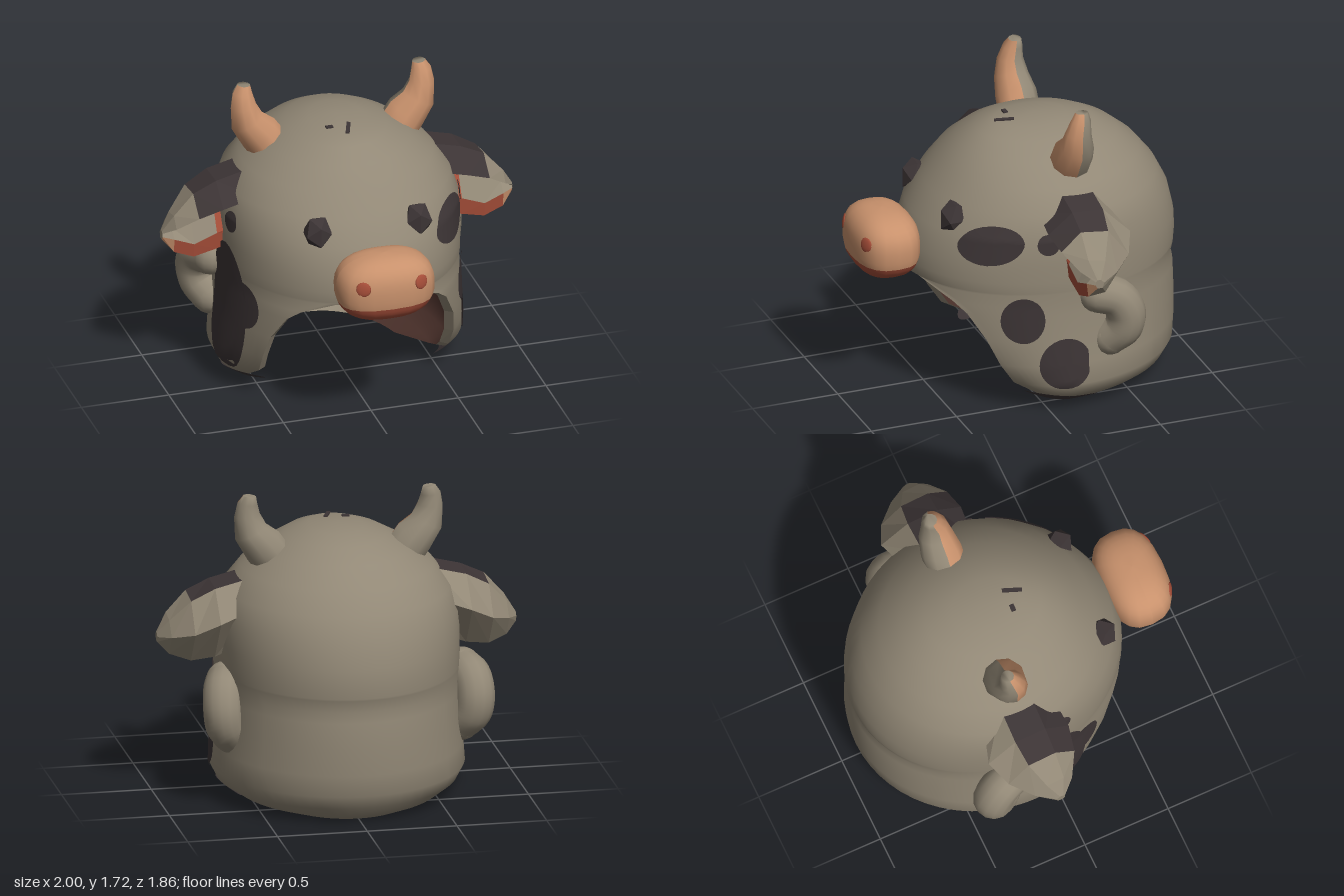
import * as THREE from 'three';
import { mergeVertices } from 'three/addons/utils/BufferGeometryUtils.js';

const mat = (name, color, side = THREE.FrontSide) => new THREE.MeshStandardMaterial({ name, color, side });

// Hood profile, top to bottom: height, half width, back z, front z, z of the face opening's edge
const ROWS = [
  [1.52, 0, -0.15, -0.15], [1.505, 0.15, -0.33, 0.08], [1.47, 0.27, -0.48, 0.18],
  [1.4, 0.4, -0.61, 0.28], [1.3, 0.53, -0.73, 0.38], [1.18, 0.625, -0.825, 0.47],
  [1.05, 0.665, -0.89, 0.57], [0.9, 0.67, -0.925, 0.62], [0.8, 0.67, -0.93, 0.625],
  [0.74, 0.668, -0.925, 0.625], [0.73, 0.668, -0.925, 0.625, 0.58], [0.66, 0.665, -0.905, 0.63, 0.48],
  [0.6, 0.667, -0.92, 0.63, 0.42], [0.45, 0.675, -0.925, 0.61, 0.33], [0.3, 0.69, -0.925, 0.52, 0.26],
  [0.18, 0.7, -0.915, 0.37, 0.18], [0.1, 0.66, -0.87, 0.23, 0.05], [0.04, 0.57, -0.82, 0.15, -0.1],
  [0.01, 0.45, -0.76, 0.1, -0.35],
];
const ZC = -0.15, COLS = 64, FIRST_OPEN = 9;
// Columns from SIDE to COLS - SIDE span the back, starting at angle BACK
const SIDE = 24, BACK = 2.29;

function edgeAngle([, , back, front, edge]) {
  if (edge === undefined) return 0;
  return Math.acos((edge - ZC) / (edge > ZC ? front - ZC : ZC - back));
}

// Half width of the hood at a height and depth
function widthAt(y, z) {
  let k = 0;
  while (k < ROWS.length - 2 && ROWS[k + 1][0] > y) k++;
  const p = ROWS[k], q = ROWS[k + 1];
  const t = THREE.MathUtils.clamp((p[0] - y) / (p[0] - q[0]), 0, 1);
  const [a, back, front] = [1, 2, 3].map((n) => p[n] + (q[n] - p[n]) * t);
  const c = (z - ZC) / (z > ZC ? front - ZC : ZC - back);
  return a * Math.sqrt(Math.max(0, 1 - c * c));
}

function hoodPoint(row, col, inner) {
  const [y, a, back, front] = row;
  const e = edgeAngle(row), half = Math.min(col, COLS - col);
  const phi = half < SIDE
    ? e + (BACK - e) * (half / SIDE)
    : BACK + (Math.PI - BACK) * ((half - SIDE) / (COLS / 2 - SIDE));
  const c = Math.cos(phi), k = inner ? 0.92 : 1;
  const x = phi === 0 ? 0 : a * Math.sin(phi) * k * (col > COLS / 2 ? -1 : 1);
  return [x, inner ? y * 0.97 + 0.01 : y, ZC + c * (c > 0 ? front - ZC : ZC - back) * k];
}

function geometryFrom(positions, smooth) {
  let g = new THREE.BufferGeometry();
  g.setAttribute('position', new THREE.Float32BufferAttribute(positions, 3));
  if (smooth) g = mergeVertices(g, 1e-4);
  g.computeVertexNormals();
  return g;
}

const quad = (out, a, b, c, d) => out.push(...a, ...b, ...c, ...a, ...c, ...d);

export function createModel() {
  const root = new THREE.Group();
  const grey = mat('warm grey hide', 0x928876, THREE.DoubleSide);
  const brown = mat('dark brown lining', 0x4a302a, THREE.DoubleSide);
  const dark = mat('charcoal', 0x3c3435, THREE.DoubleSide);
  const peach = mat('peach', 0xc8916c);
  const red = mat('brick red', 0xa64e39);

  const add = (name, geometry, material, parent = root) => {
    const m = new THREE.Mesh(geometry, material);
    m.name = name;
    parent.add(m);
    return m;
  };

  // Hood: outer shell, two-tone lining and the rim between them
  const outer = [], liningBack = [], liningSide = [], rim = [];
  const last = ROWS.length - 1;
  for (let j = 0; j < last; j++) {
    const P = (r, c, inner) => hoodPoint(ROWS[r], c, inner);
    for (let i = 0; i < COLS; i++) {
      quad(outer, P(j, i), P(j + 1, i), P(j + 1, i + 1), P(j, i + 1));
      const lining = i >= SIDE && i < COLS - SIDE ? liningBack : liningSide;
      quad(lining, P(j, i, true), P(j, i + 1, true), P(j + 1, i + 1, true), P(j + 1, i, true));
      if (j === 0) quad(rim, P(last, i), P(last, i, true), P(last, i + 1, true), P(last, i + 1));
    }
    if (j >= FIRST_OPEN) {
      quad(rim, P(j, 0), P(j, 0, true), P(j + 1, 0, true), P(j + 1, 0));
      quad(rim, P(j, COLS), P(j + 1, COLS), P(j + 1, COLS, true), P(j, COLS, true));
    }
  }
  add('hoodShell', geometryFrom(outer, true), grey);
  add('liningBack', geometryFrom(liningBack, true), grey);
  add('liningSides', geometryFrom(liningSide, true), brown);
  add('hoodRim', geometryFrom(rim, false), grey);

  // Hide patches that hug the shell
  const patch = (s, y0, z0, ry, rz, tilt = 0, zMin = -0.2) => {
    const g = new THREE.RingGeometry(0, 1, 28, 6);
    const p = g.attributes.position;
    for (let i = 0; i < p.count; i++) {
      const z = Math.max(zMin, z0 - s * p.getX(i) * rz);
      const y = y0 + p.getY(i) * ry + tilt * (z - z0);
      p.setXYZ(i, s * (widthAt(y, z) + 0.009), y, z);
    }
    g.computeVertexNormals();
    add('hidePatch', g, dark);
  };

  // Loft through rings of points; pick chooses the colour of each face
  const loft = (name, rings, pick, s, smooth) => {
    const group = new THREE.Group();
    group.name = name;
    const buckets = new Map();
    const tri = (m, a, b, c) => {
      if (!buckets.has(m)) buckets.set(m, []);
      for (const v of s > 0 ? [a, b, c] : [a, c, b]) buckets.get(m).push(v[0] * s, v[1], v[2]);
    };
    const n = rings[0].length, end = rings[rings.length - 1];
    for (let k = 0; k < rings.length - 1; k++) {
      for (let i = 0; i < n; i++) {
        const h = (i + 1) % n, m = pick(k, i);
        tri(m, rings[k][i], rings[k + 1][i], rings[k + 1][h]);
        tri(m, rings[k][i], rings[k + 1][h], rings[k][h]);
      }
    }
    for (let i = 1; i < n - 1; i++) tri(grey, end[0], end[i + 1], end[i]);
    for (const [m, pos] of buckets) add(name + 'Faces', geometryFrom(pos, smooth), m, group);
    root.add(group);
  };

  // Ear stations: x, then section points (z, y): front lip, top, back top, back, bottom, lower lip (2), hollow
  const EAR = [
    [0.5, [0.02, 1.16], [-0.1, 1.28], [-0.28, 1.27], [-0.38, 1.12], [-0.25, 0.9], [-0.1, 0.87], [-0.08, 0.98], [-0.16, 1.12]],
    [0.7, [0.04, 1.12], [-0.1, 1.23], [-0.28, 1.22], [-0.44, 1.06], [-0.27, 0.83], [-0.09, 0.82], [-0.08, 0.92], [-0.17, 1.09]],
    [0.83, [0.015, 1.07], [-0.1, 1.17], [-0.26, 1.15], [-0.38, 0.99], [-0.25, 0.81], [-0.09, 0.79], [-0.08, 0.87], [-0.17, 1.04]],
    [0.94, [-0.05, 0.99], [-0.1, 1.05], [-0.2, 1.03], [-0.27, 0.95], [-0.2, 0.84], [-0.1, 0.83], [-0.09, 0.91], [-0.14, 0.96]],
    [1.0, [-0.12, 0.94], [-0.13, 0.95], [-0.15, 0.95], [-0.17, 0.93], [-0.16, 0.9], [-0.13, 0.9], [-0.12, 0.92], [-0.13, 0.93]],
  ];
  const earRings = EAR.map(([x, ...pts]) => pts.map(([z, y]) => [x, y, z]));
  const earColor = (k, i) => {
    if (i < 2 && k < 2) return dark;
    if (i === 5) return k === 3 ? peach : red;
    return i === 6 && k === 0 ? red : grey;
  };

  // Horn stations: centre x and y, centre z, radius, lean of the ring
  const HORN = [
    [0.37, 1.36, -0.21, 0.115, -0.75], [0.42, 1.43, -0.21, 0.115, -0.72], [0.49, 1.515, -0.21, 0.095, -0.45],
    [0.51, 1.61, -0.21, 0.072, -0.1], [0.51, 1.68, -0.225, 0.056, 0.1], [0.5, 1.725, -0.235, 0.036, 0.1],
  ];
  const hornRings = HORN.map(([x, y, z, r, lean]) => Array.from({ length: 10 }, (_, i) => {
    const t = (i / 10) * Math.PI * 2, u = r * Math.cos(t);
    return [x + u * Math.cos(lean), y + u * Math.sin(lean), z + r * Math.sin(t)];
  }));
  const hornColor = (k, i) => (i < 5 ? peach : grey);

  // Curled side flap
  const flapPoints = [[0.64, 0.69, -0.27], [0.675, 0.66, -0.37], [0.685, 0.57, -0.42],
    [0.67, 0.48, -0.41], [0.62, 0.41, -0.35]];

  for (const s of [1, -1]) {
    patch(s, 0.58, 0.155, 0.135, 0.115);
    patch(s, 1.03, 0.02, 0.06, 0.06);
    patch(s, 0.07, -0.1, 0.03, 0.2, 0.12, -0.31);
    loft('ear', earRings, earColor, s, false);
    loft('horn', hornRings, hornColor, s, true);

    // The right flap stands out a little further
    const out = s < 0 ? 0.035 : 0;
    const path = new THREE.CatmullRomCurve3(
      flapPoints.map(([x, y, z]) => new THREE.Vector3((x + out) * s, y, z)));
    add('sideFlap', new THREE.TubeGeometry(path, 20, 0.11, 14), grey);
    for (const end of [0, 1]) {
      add('sideFlapEnd', new THREE.SphereGeometry(0.11, 14, 10), grey).position.copy(path.getPoint(end));
    }

    const eye = add('eye', new THREE.IcosahedronGeometry(0.1, 0), dark);
    eye.position.set(0.285 * s, 1.11, 0.435);
    eye.scale.set(0.85, 1.05, 0.85);

    const nostril = add('nostril', new THREE.SphereGeometry(0.042, 12, 8), red);
    nostril.position.set(0.165 * s, 0.97, 0.898);
    nostril.rotation.set(-0.15, 0.4 * s, 0);
    nostril.scale.z = 0.25;
  }
  // Patches found on one flank only
  patch(1, 1.015, 0.3, 0.105, 0.155, -0.2);
  patch(1, 0.31, -0.07, 0.15, 0.145);
  patch(-1, 0.51, -0.02, 0.38, 0.2);

  // Snout: boxy ellipsoid, peach above and red below
  const snoutPart = (name, from, to, material) => {
    const g = new THREE.SphereGeometry(1, 20, 10, 0, Math.PI * 2, from, to - from);
    const p = g.attributes.position;
    const f = (v) => Math.sign(v) * Math.abs(v) ** 0.78;
    for (let i = 0; i < p.count; i++) {
      p.setXYZ(i, f(p.getX(i)) * 0.277, 0.915 + f(p.getY(i)) * 0.188, 0.745 + f(p.getZ(i)) * 0.185);
    }
    g.computeVertexNormals();
    add(name, g, material);
  };
  snoutPart('snoutUpper', 0, 1.9, peach);
  snoutPart('snoutLower', 1.9, Math.PI, red);

  // Small marks on the crown
  const mark = add('crownMark', new THREE.BoxGeometry(0.022, 0.008, 0.11), dark);
  mark.position.set(0.015, 1.512, 0.03);
  mark.rotation.set(0.08, -0.35, 0);
  add('crownSpeck', new THREE.BoxGeometry(0.04, 0.008, 0.025), dark).position.set(-0.08, 1.512, -0.01);

  return root;
}
